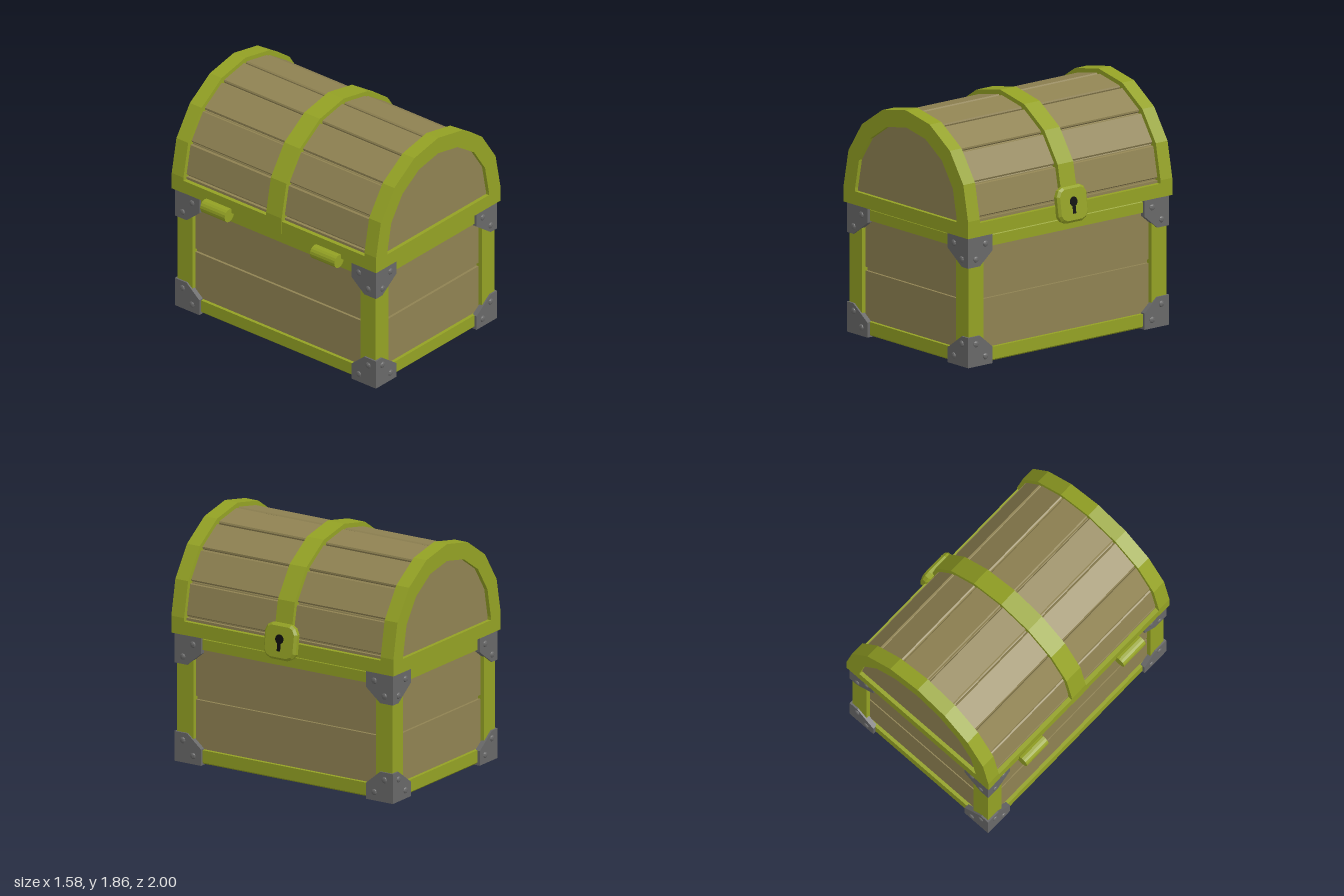
import * as THREE from 'three';

const wood = new THREE.MeshStandardMaterial({ color: 0x8f8252, flatShading: true });
const trim = new THREE.MeshStandardMaterial({ color: 0x93a124, flatShading: true });
const iron = new THREE.MeshStandardMaterial({ color: 0x686868, flatShading: true });
const black = new THREE.MeshStandardMaterial({ color: 0x0c0c0c, flatShading: true });

const CX = 0.005;      // centre line of the chest
const LID_Y = 1.137;   // centre of the lid's arch
const SEGS = 8;        // planks across the lid

function add(parent, name, geometry, material) {
  const mesh = new THREE.Mesh(geometry, material);
  mesh.name = name;
  parent.add(mesh);
  return mesh;
}

// Box given by its minimum and maximum corners
function box(parent, name, material, x0, x1, y0, y1, z0, z1) {
  const mesh = add(parent, name, new THREE.BoxGeometry(Math.abs(x1 - x0), y1 - y0, Math.abs(z1 - z0)), material);
  mesh.position.set((x0 + x1) / 2, (y0 + y1) / 2, (z0 + z1) / 2);
  return mesh;
}

const polygon = (pts) => pts.map(([x, y]) => new THREE.Vector2(x, y));

function slab(pts, depth, hole) {
  const shape = new THREE.Shape(polygon(pts));
  if (hole) shape.holes.push(new THREE.Path(polygon(hole)));
  return new THREE.ExtrudeGeometry(shape, { depth, bevelEnabled: false });
}

const rim = (r, i) => {
  const a = (i / SEGS) * Math.PI;
  return [r * Math.cos(a), LID_Y + r * Math.sin(a)];
};

// Half-round lid outline with straight foot
function arch(r, base) {
  const pts = [];
  for (let i = 0; i <= SEGS; i++) pts.push(rim(r, i));
  pts.push([-r, base], [r, base]);
  return pts;
}

function buildBody() {
  const body = new THREE.Group();
  body.name = 'body';
  box(body, 'bodyCore', wood, -0.635, 0.635, 0.012, 1.003, -0.915, 0.915);

  // Two planks on each wall, with a groove between them
  for (const [y0, y1] of [[0.05, 0.495], [0.525, 0.98]]) {
    box(body, 'wallPlanksAcross', wood, -0.6, 0.6, y0, y1, -0.935, 0.935);
    box(body, 'wallPlanksAlong', wood, -0.655, 0.655, y0, y1, -0.9, 0.9);
  }

  // Rails with a small bevel along their outer edge
  for (const s of [-1, 1]) {
    for (const [y0, y1, b0, b1] of [[0.01, 0.118, 0.012, 0], [0.903, 1.003, 0, 0.018]]) {
      const profile = (o) => [
        [s * (o - 0.06), y0], [s * (o - b0), y0], [s * o, y0 + b0],
        [s * o, y1 - b1], [s * (o - b1), y1], [s * (o - 0.06), y1],
      ];
      const side = add(body, 'longRail', slab(profile(0.682), 1.8), trim);
      side.position.z = -0.9;
      const end = add(body, 'endRail', slab(profile(0.962), 1.24).rotateY(-Math.PI / 2), trim);
      end.position.x = 0.62;
    }
  }

  // Corner posts
  for (const sx of [-1, 1]) for (const sz of [-1, 1]) {
    box(body, 'cornerPost', trim, sx * 0.543, sx * 0.69, 0.01, 1.003, sz * 0.822, sz * 0.97);
  }
  return body;
}

// Three-sided iron bracket with two rivets on each wall
function buildBracket(sx, sz, top) {
  const g = new THREE.Group();
  g.name = 'cornerBracket';
  const fy = (v) => (top ? 1.003 - v : v);
  const plate = (s, outer, flat, drop) => [
    [s * outer, fy(0)], [s * (outer - 0.24), fy(0)], [s * (outer - 0.24), fy(drop)],
    [s * (outer - flat), fy(0.233)], [s * outer, fy(0.233)],
  ];
  const X = 0.703, Z = 0.984, T = 0.04;

  const front = add(g, 'bracketEndPlate', slab(plate(sx, X, 0.075, 0.115), T), iron);
  front.position.z = sz > 0 ? Z - T : -Z;
  const side = add(g, 'bracketSidePlate', slab(plate(sz, Z, 0.115, 0.128), T).rotateY(-Math.PI / 2), iron);
  side.position.x = sx > 0 ? X : -X + T;
  const y = fy(0.01);
  box(g, 'bracketFlatPlate', iron, sx * (X - 0.24), sx * X, y - 0.01, y + 0.01, sz * (Z - 0.24), sz * Z);

  for (const [inset, h] of [[0.076, 0.174], [0.168, 0.066]]) {
    const a = add(g, 'rivet', new THREE.SphereGeometry(0.025, 10, 6), iron);
    a.position.set(sx * (X - inset), fy(h), sz * Z);
    a.scale.z = 0.5;
    const b = add(g, 'rivet', new THREE.SphereGeometry(0.025, 10, 6), iron);
    b.position.set(sx * X, fy(h), sz * (Z - inset));
    b.scale.x = 0.5;
  }
  return g;
}

function buildLid() {
  const lid = new THREE.Group();
  lid.name = 'lid';
  const base = 1.005;

  const core = add(lid, 'lidCore', slab(arch(0.66, base + 0.01), 1.94), wood);
  core.position.z = -0.97;
  box(lid, 'lidRail', trim, -0.718, 0.718, base, 1.11, -0.89, 0.89);

  // Long planks with chamfered edges, one per facet
  for (let i = 0; i < SEGS; i++) {
    const mix = (r, t) => {
      const a = rim(r, i), b = rim(r, i + 1);
      return [a[0] + (b[0] - a[0]) * t, a[1] + (b[1] - a[1]) * t];
    };
    const pts = [mix(0.64, 0.03), mix(0.675, 0.03), mix(0.686, 0.065),
      mix(0.686, 0.935), mix(0.675, 0.97), mix(0.64, 0.97)];
    add(lid, 'lidPlank', slab(pts, 1.8), wood).position.z = -0.9;
  }
  // Short straight strip between the rail and the lowest planks
  for (const s of [-1, 1]) box(lid, 'lidPlankFoot', wood, s * 0.62, s * 0.684, 1.08, 1.13, -0.9, 0.9);

  // End frames with an opening, and a solid band over the middle
  for (const z of [-1, 0.885]) {
    add(lid, 'lidEndFrame', slab(arch(0.72, base), 0.115, arch(0.588, 1.11)), trim).position.z = z;
  }
  add(lid, 'lidMiddleBand', slab(arch(0.72, base), 0.152), trim).position.z = -0.076;
  return lid;
}

function buildLock() {
  const lock = new THREE.Group();
  lock.name = 'lock';
  const half = [[0.075, -0.138], [0.118, -0.118], [0.143, -0.08], [0.145, 0.072], [0.122, 0.118], [0.085, 0.138]];
  const outline = [...half, ...half.map(([x, y]) => [-x, y]).reverse()];
  const geo = new THREE.ExtrudeGeometry(new THREE.Shape(polygon(outline)), {
    depth: 0.03, bevelThickness: 0.018, bevelSize: 0.018, bevelOffset: -0.018, bevelSegments: 1,
  }).rotateY(Math.PI / 2);
  add(lock, 'lockPlate', geo, trim);

  // Keyhole: round top and slot
  const hole = add(lock, 'keyholeRound', new THREE.CylinderGeometry(0.037, 0.037, 0.01, 16).rotateZ(Math.PI / 2), black);
  hole.position.set(0.045, 0.02, 0);
  box(lock, 'keyholeSlot', black, 0.04, 0.05, -0.072, 0.02, -0.015, 0.015);
  lock.position.set(0.715, 1.108, 0);
  lock.rotation.z = 0.14;
  return lock;
}

export function createModel() {
  const chest = new THREE.Group();
  chest.name = 'treasureChest';
  chest.add(buildBody(), buildLid(), buildLock());
  for (const sx of [-1, 1]) for (const sz of [-1, 1]) for (const top of [false, true]) {
    chest.add(buildBracket(sx, sz, top));
  }
  // Hinge barrels along the back
  for (const s of [-1, 1]) {
    const hinge = add(chest, 'hinge', new THREE.CylinderGeometry(0.054, 0.054, 0.24, 16).rotateX(Math.PI / 2), trim);
    hinge.position.set(-0.743, 0.993, s * 0.537);
  }
  chest.position.x = CX;
  const model = new THREE.Group();
  model.name = 'model';
  model.add(chest);
  return model;
}
